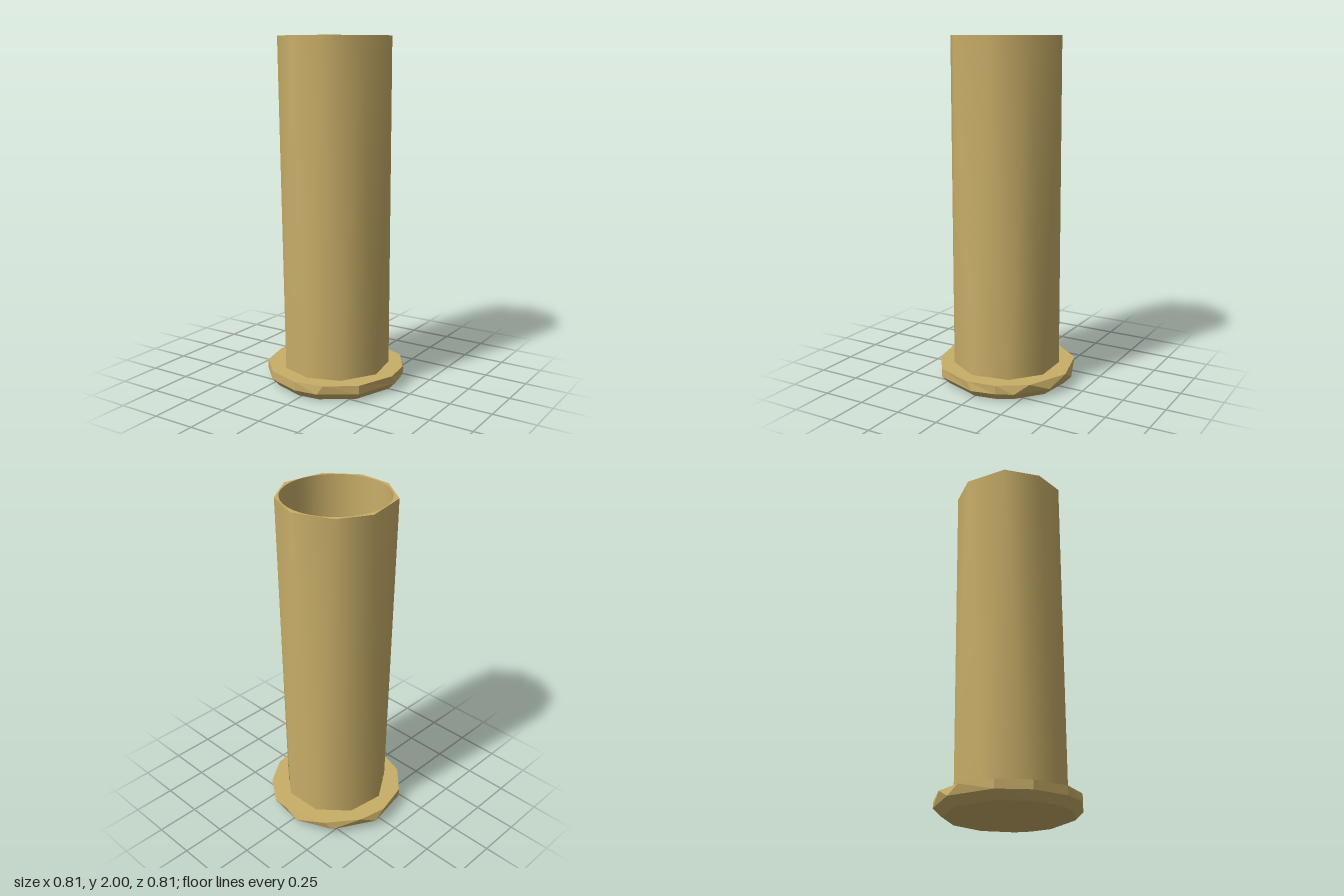
import * as THREE from 'three';

const FLANGE_TOP = 0.095, FLANGE_MID = 0.045, HEIGHT = 2, BORE = 0.297;

// Outlines as [x, z] corners, running clockwise seen from above
const mouth = [[-0.005, -0.327], [0.2, -0.25], [0.318, -0.07], [0.27, 0.175], [0.1, 0.308],
  [-0.09, 0.308], [-0.27, 0.187], [-0.32, -0.06], [-0.22, -0.235]];
const flangeUpper = [[0.03, -0.405], [0.27, -0.3], [0.375, -0.14], [0.4, 0.03], [0.315, 0.255], [0.15, 0.37],
  [-0.02, 0.402], [-0.22, 0.338], [-0.355, 0.2], [-0.405, 0], [-0.37, -0.165], [-0.235, -0.337]];
const flangeMiddle = [[0.16, -0.37], [0.33, -0.235], [0.375, -0.14], [0.405, 0], [0.315, 0.255], [0.12, 0.385],
  [-0.02, 0.402], [-0.22, 0.338], [-0.355, 0.2], [-0.405, -0.07], [-0.27, -0.305], [-0.06, -0.4]];

const toRadius = (r) => ([x, z]) => [x * r / Math.hypot(x, z), z * r / Math.hypot(x, z)];

// Stacks rings of equal corner count, with optional end caps
function loft(rings, capped) {
  const n = rings[0].points.length, pos = [], index = [];
  rings.forEach(({ y, points }) => points.forEach(([x, z]) => pos.push(x, y, z)));
  for (let r = 0; r < rings.length - 1; r++) {
    for (let i = 0; i < n; i++) {
      const a = r * n + i, b = r * n + (i + 1) % n;
      index.push(a, a + n, b + n, a, b + n, b);
    }
  }
  if (capped) {
    const last = (rings.length - 1) * n;
    for (let i = 1; i < n - 1; i++) index.push(0, i, i + 1, last, last + i + 1, last + i);
  }
  const geometry = new THREE.BufferGeometry();
  geometry.setAttribute('position', new THREE.Float32BufferAttribute(pos, 3));
  geometry.setIndex(index);
  geometry.computeVertexNormals();
  return geometry;
}

export function createModel() {
  const group = new THREE.Group();
  group.name = 'flangedSleeve';
  const brass = (options) => new THREE.MeshStandardMaterial({ color: 0xc8ae68, ...options });
  const add = (name, geometry, material) => {
    const mesh = new THREE.Mesh(geometry, material);
    mesh.name = name;
    group.add(mesh);
    return mesh;
  };

  // Faceted base flange with a chamfered underside; its top is also the floor of the bore
  add('baseFlange', loft([
    { y: 0, points: flangeMiddle.map(toRadius(0.36)) },
    { y: FLANGE_MID, points: flangeMiddle },
    { y: FLANGE_TOP, points: flangeUpper },
  ], true), brass({ flatShading: true }));

  // Outer wall: nine sides, twisted half a side between foot and mouth
  const foot = mouth.map(([x, z], i) => {
    const [nx, nz] = mouth[(i + 1) % mouth.length];
    return toRadius(0.313)([(x + nx) / 2, (z + nz) / 2]);
  });
  const wall = loft([{ y: FLANGE_TOP, points: foot }, { y: HEIGHT, points: mouth }], false);
  const p = wall.attributes.position;
  for (let i = 0; i < p.count; i++) {
    const [nx, nz] = toRadius(1)([p.getX(i), p.getZ(i)]);
    wall.attributes.normal.setXYZ(i, nx, 0, nz);
  }
  add('outerWall', wall, brass());

  // Round bore seen from inside
  const depth = HEIGHT - FLANGE_TOP;
  const bore = add('boreWall', new THREE.CylinderGeometry(BORE, BORE, depth, 36, 1, true),
    brass({ side: THREE.BackSide }));
  bore.position.y = FLANGE_TOP + depth / 2;

  // Flat rim between the faceted mouth and the round bore
  const rimShape = new THREE.Shape(mouth.map(([x, z]) => new THREE.Vector2(x, -z)));
  rimShape.holes.push(new THREE.Path().absarc(0, 0, BORE, 0, Math.PI * 2));
  const rim = add('rim', new THREE.ShapeGeometry(rimShape, 18), brass());
  rim.rotation.x = -Math.PI / 2;
  rim.position.y = HEIGHT;

  return group;
}
